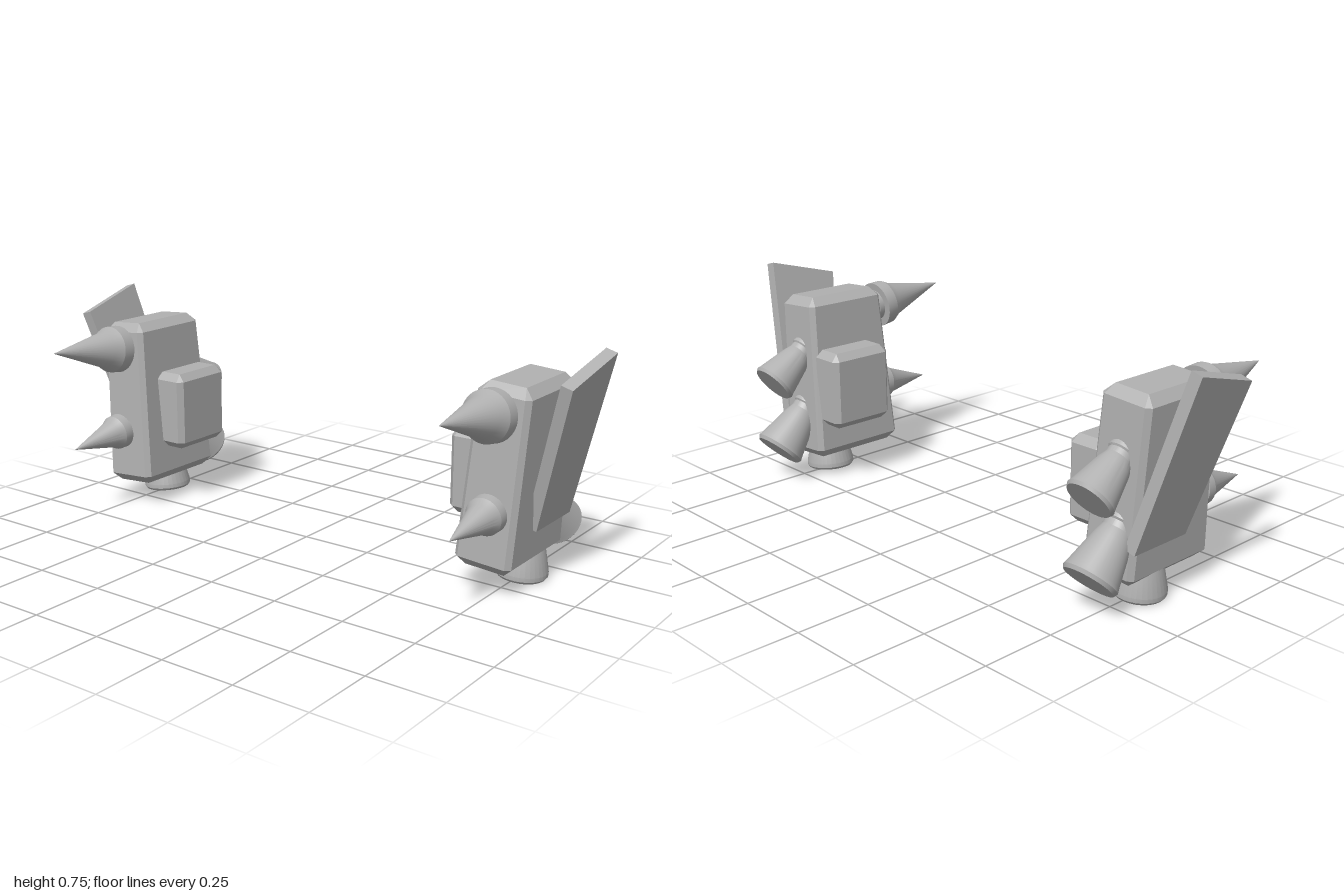
import * as THREE from 'three';
import { toCreasedNormals } from 'three/addons/utils/BufferGeometryUtils.js';
import { ConvexGeometry } from 'three/addons/geometries/ConvexGeometry.js';

const grey = new THREE.MeshStandardMaterial({ color: 0xb0b0b0 });
grey.name = 'grey';

function add(parent, name, geometry, x = 0, y = 0, z = 0) {
  const mesh = new THREE.Mesh(geometry, grey);
  mesh.name = name;
  mesh.position.set(x, y, z);
  parent.add(mesh);
  return mesh;
}

// Round part about the y axis, with crisp rims
function turned(profile, scale = 1) {
  const points = profile.map(([r, y]) => new THREE.Vector2(r * scale, y * scale));
  return toCreasedNormals(new THREE.LatheGeometry(points, 32), 0.3);
}

// Chamfered box whose width, depth and centre z differ at bottom and top
function chamferedBox(height, bottom, top, bevel, sideBevel = bevel) {
  const points = [];
  for (const sy of [-1, 1]) {
    const { w, d, z } = sy < 0 ? bottom : top;
    const h = height / 2;
    for (const sx of [-1, 1]) for (const sz of [-1, 1]) {
      const corner = (x, y, depth) => points.push(new THREE.Vector3(sx * x, sy * y, z + sz * depth));
      corner(w, h - bevel, d - sideBevel);
      corner(w - bevel, h, d - bevel);
      corner(w - sideBevel, h - bevel, d);
    }
  }
  return new ConvexGeometry(points);
}

// Leaning plate given as z, y corners of its outer face
function finGeometry(side) {
  const points = [];
  for (const [z, y] of [[0.06, 0.675], [-0.195, 0.743], [-0.262, 0.195], [-0.032, 0.195]]) {
    const x = 0.845 + 0.283 * (y - 0.195);
    points.push(new THREE.Vector3(side * x, y, z));
    points.push(new THREE.Vector3(side * (x - 0.038), y + 0.011, z));
  }
  return new ConvexGeometry(points);
}

const spikeProfile = [[0, 0], [0.083, 0], [0.081, 0.042], [0.063, 0.075], [0.0005, 0.305]];
const nozzleProfile = [[0, -0.1], [0.056, -0.1], [0.056, -0.025], [0.05, -0.02], [0.05, 0],
  [0.06, 0.03], [0.085, 0.145], [0.089, 0.158], [0.082, 0.17], [0, 0.17]];
const footProfile = [[0, 0], [0.079, 0], [0.085, 0.008], [0.085, 0.022], [0.064, 0.11], [0.055, 0.14], [0, 0.14]];

function createPod(side) {
  const pod = new THREE.Group();
  pod.name = side > 0 ? 'leftPod' : 'rightPod';
  const x = side * 0.757;

  // Tapered hull leaning outward, side pack and fin
  const hull = chamferedBox(0.585, { w: 0.097, d: 0.18, z: -0.075 }, { w: 0.09, d: 0.157, z: -0.08 }, 0.03, 0.016);
  add(pod, 'hull', hull, side * 0.75, 0.372, 0).rotation.z = -0.07 * side;
  const pack = { w: 0.065, d: 0.122, z: 0 };
  add(pod, 'sidePack', chamferedBox(0.277, pack, pack, 0.025, 0.018), side * 0.62, 0.348, -0.113);
  add(pod, 'fin', finGeometry(side));

  // Front spikes, each with a collar and a slanted mount
  const spikes = [['upper', 0.58, 0.113, 1, -0.12], ['lower', 0.278, 0.113, 0.75, 0.085]];
  for (const [name, y, z, scale, tilt] of spikes) {
    add(pod, name + 'Spike', turned(spikeProfile, scale), x, y, z).rotation.x = Math.PI / 2 + tilt;
    const collar = new THREE.CylinderGeometry(0.056 * scale, 0.056 * scale, 0.022, 32);
    add(pod, name + 'SpikeCollar', collar, x, y, z - 0.01).rotation.x = Math.PI / 2 + tilt;
    const mount = new THREE.CylinderGeometry(0.03 * scale, 0.03 * scale, 0.09, 20);
    add(pod, name + 'SpikeMount', mount, x, y - 0.03 * scale, z - 0.04).rotation.x = 0.75;
  }

  // Rear nozzles aimed back and down
  const nozzles = [['upper', 0.457, -0.241, 0.89, 0.63], ['lower', 0.237, -0.235, 1, 0.79]];
  for (const [name, y, z, scale, tilt] of nozzles) {
    add(pod, name + 'Nozzle', turned(nozzleProfile, scale), x, y, z).rotation.x = -Math.PI / 2 - tilt;
  }

  // Foot nozzle under the hull
  add(pod, 'footNozzle', turned(footProfile), side * 0.754, 0.007, -0.125).rotation.z = -0.08 * side;
  return pod;
}

export function createModel() {
  const model = new THREE.Group();
  model.name = 'podPair';
  for (const side of [1, -1]) model.add(createPod(side));
  return model;
}
